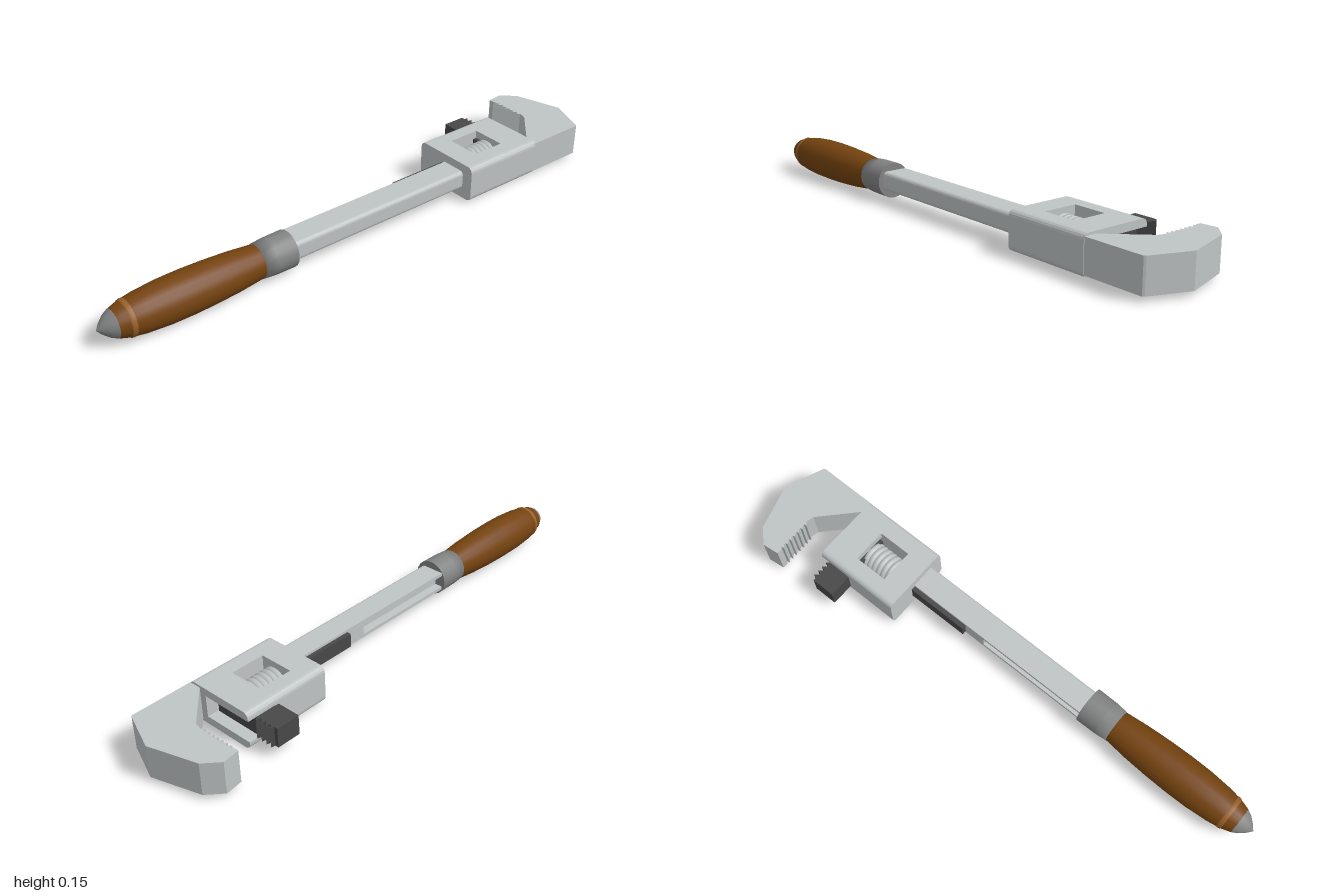
import * as THREE from 'three';

const mat = (name, color) => Object.assign(new THREE.MeshStandardMaterial({ color }), { name });
const CY = 0.073, CZ = 0.094; // handle axis

export function createModel() {
  const steel = mat('steel', 0xbfc4c4);
  const gray = mat('ferrule gray', 0x828383);
  const dark = mat('dark iron', 0x484848);
  const wood = mat('wood', 0x75430f);
  const tan = mat('pale groove', 0x96602a);

  const model = new THREE.Group();
  model.name = 'adjustableWrench';
  const add = (name, geometry, material) => {
    const mesh = new THREE.Mesh(geometry, material);
    mesh.name = name;
    model.add(mesh);
    return mesh;
  };

  // Turned part on the handle axis from [x, radius] points
  const turned = (name, points, material, sides = 20) => {
    const g = new THREE.LatheGeometry(points.map(([x, r]) => new THREE.Vector2(r, x)), sides);
    g.rotateZ(-Math.PI / 2).translate(0, CY, CZ);
    return add(name, g, material);
  };

  // Cross-section of [z, y] points drawn out along x
  const alongX = (name, section, x0, x1, material) => {
    const shape = new THREE.Shape(section.map(([z, y]) => new THREE.Vector2(-z, y)));
    const g = new THREE.ExtrudeGeometry(shape, { depth: x1 - x0, bevelEnabled: false });
    g.rotateY(Math.PI / 2).translate(x0, 0, 0);
    return add(name, g, material);
  };

  // Plan outline of [x, z] points drawn up along y
  const alongY = (name, outline, y0, y1, material) => {
    const shape = new THREE.Shape(outline.map(([x, z]) => new THREE.Vector2(x, -z)));
    const g = new THREE.ExtrudeGeometry(shape, { depth: y1 - y0, bevelEnabled: false });
    g.rotateX(-Math.PI / 2).translate(0, y0, 0);
    return add(name, g, material);
  };

  // Rounded corner points around a centre, from angle a in quarter turn
  const corner = (z, y, r, a) => [0, 1, 2, 3, 4].map((i) => {
    const t = (a + i / 4) * Math.PI / 2;
    return [z + r * Math.cos(t), y + r * Math.sin(t)];
  });

  // Wooden grip with groove and metal cap
  turned('gripCap', [[-1, 0], [-0.985, 0.018], [-0.965, 0.036], [-0.945, 0.047]], gray);
  turned('grip', [[-0.945, 0.047], [-0.91, 0.058], [-0.86, 0.066], [-0.78, 0.072], [-0.7, 0.073],
    [-0.62, 0.071], [-0.53, 0.066], [-0.44, 0.057]], wood);
  turned('gripGroove', [[-0.912, 0.0583], [-0.908, 0.0605], [-0.9, 0.0615], [-0.896, 0.061]], tan);

  // Ferrule
  turned('ferruleNeck', [[-0.445, 0], [-0.445, 0.059], [-0.4, 0.063]], gray);
  turned('ferruleCollar', [[-0.4, 0.063], [-0.325, 0.064]], gray);
  turned('ferruleEnd', [[-0.325, 0.064], [-0.325, 0]], gray);

  // Shank bar, with a long recess in its back face
  const [zb, zf, yb, yt, r] = [0.043, 0.137, 0.042, 0.11, 0.014];
  const frontCorners = [...corner(zf - r, yb + r, r, 3), ...corner(zf - r, yt - r, r, 0)];
  alongX('shankSolid', [...frontCorners, [zb, yt], [zb, yb]], 0.09, 0.42, steel);
  alongX('shankRecessed', [...frontCorners, [zb, yt], [zb, yt - 0.012], [zb + 0.03, yt - 0.012],
    [zb + 0.03, yb + 0.012], [zb, yb + 0.012], [zb, yb]], -0.33, 0.09, steel);
  add('slideRod', new THREE.BoxGeometry(0.24, 0.05, 0.04), dark).position.set(0.29, 0.076, 0.047);

  // Housing: solid end, two walls beside the window, and a channel for the sliding jaw
  const [hb, hf, h0, h1, hr] = [-0.08, 0.18, 0.007, 0.14, 0.02];
  const front = [...corner(hf - hr, h0 + hr, hr, 3), ...corner(hf - hr, h1 - hr, hr, 0)];
  const backTop = corner(hb + hr, h1 - hr, hr, 1);
  const backLow = corner(hb + hr, h0 + hr, hr, 2);
  alongX('housingRear', [...front, ...backTop, ...backLow], 0.4, 0.485, steel);
  alongX('housingFrontWall', [...front, [0.11, h1], [0.11, h0]], 0.485, 0.61, steel);
  alongX('housingBackWall', [[-0.015, h0], [-0.015, h1], ...backTop, ...backLow], 0.485, 0.61, steel);
  alongX('housingChannel', [...front, ...backTop, [hb, 0.112], [0.11, 0.112], [0.11, 0.035],
    [hb, 0.035], ...backLow], 0.61, 0.72, steel);

  // Ribbed adjusting wheel in the window
  const ribs = [[0, 0]];
  for (let i = 0; i < 6; i++) {
    const x = i * 0.02;
    ribs.push([x, 0.045], [x + 0.003, 0.053], [x + 0.014, 0.053], [x + 0.017, 0.045]);
  }
  ribs.push([0.12, 0]);
  turned('adjustingWheel', ribs, steel, 24).position.set(0.49, 0, 0.047 - CZ);

  // Fixed hook jaw, teeth on the inner face
  const hook = [[0.715, 0.178], [0.715, 0.14], [0.84, 0.008]];
  for (let i = 0; i < 7; i++) {
    const z = -0.02 - i * 0.019;
    hook.push([0.847, z], [0.837, z - 0.012], [0.847, z - 0.014]);
  }
  hook.push([0.84, -0.155], [0.84, -0.175], [0.9, -0.182], [0.95, -0.135], [1, 0.035], [0.945, 0.172], [0.94, 0.178]);
  alongY('hookJaw', hook.reverse(), 0.017, 0.132, steel);

  // Sliding jaw, teeth facing the hook
  const jaw = [[0.597, -0.165], [0.597, 0.1], [0.683, 0.1], [0.683, -0.075]];
  for (let i = 0; i < 4; i++) {
    const z = -0.078 - i * 0.02;
    jaw.push([0.683, z], [0.697, z - 0.01], [0.683, z - 0.014]);
  }
  jaw.push([0.683, -0.165]);
  alongY('slidingJaw', jaw, 0.04, 0.11, dark);

  return model;
}
